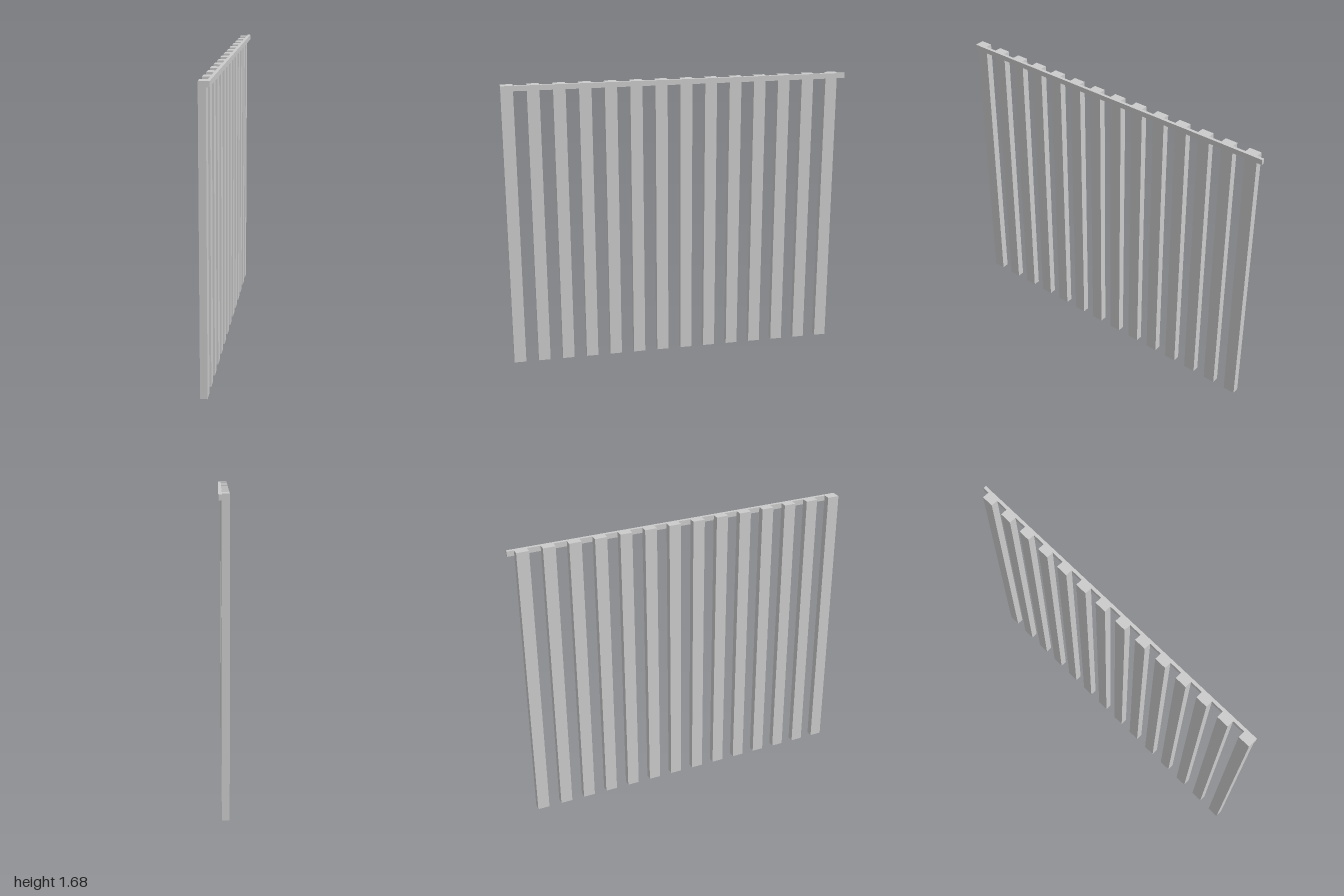
import * as THREE from 'three';

const HEIGHT = 1.677;      // overall height
const COUNT = 14;          // number of slats
const PITCH = 0.1454;      // spacing between slat centres
const SLAT = { x: 0.04, z: 0.07 };
const RAIL = { x: 0.018, y: 0.03, z: 2 };

export function createModel() {
  const group = new THREE.Group();
  group.name = 'slatScreen';
  const material = new THREE.MeshStandardMaterial({ color: 0xcccccc, flatShading: true });

  // Upright slats, starting flush with the front end of the rail
  const slatGeometry = new THREE.BoxGeometry(SLAT.x, HEIGHT, SLAT.z);
  for (let i = 0; i < COUNT; i++) {
    const slat = new THREE.Mesh(slatGeometry, material);
    slat.name = `slat${i + 1}`;
    slat.position.set(-0.009, HEIGHT / 2, 1 - SLAT.z / 2 - i * PITCH);
    group.add(slat);
  }

  // Top rail fixed to the left faces of the slats
  const rail = new THREE.Mesh(new THREE.BoxGeometry(RAIL.x, RAIL.y, RAIL.z), material);
  rail.name = 'topRail';
  rail.position.set(0.02, HEIGHT - RAIL.y / 2, 0);
  group.add(rail);

  return group;
}
